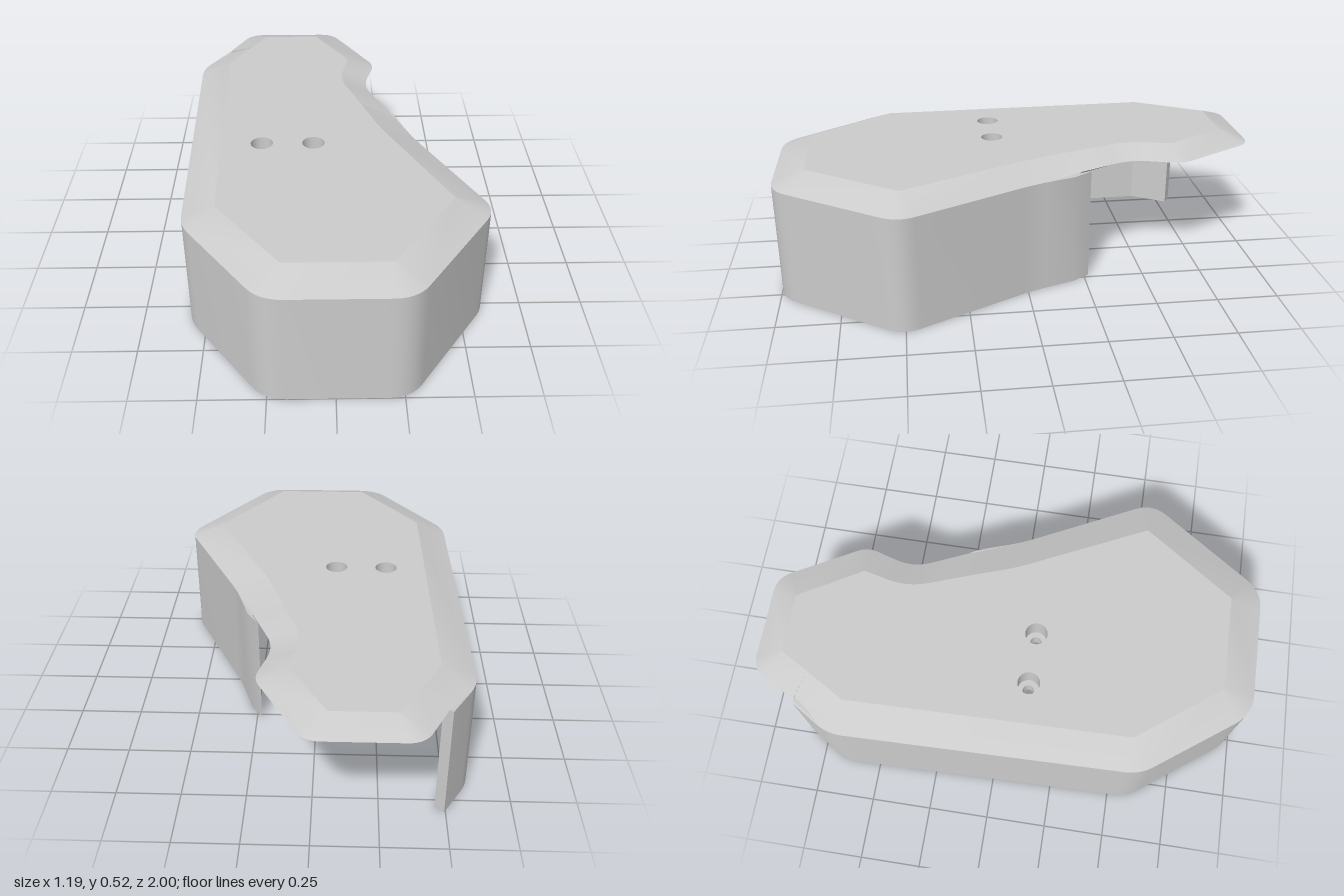
import * as THREE from 'three';
import { toCreasedNormals } from 'three/addons/utils/BufferGeometryUtils.js';

const TOP = 0.525, WALL = 0.473, EDGE = 0.483, CREASE = 0.3;
const V = (x, z) => new THREE.Vector2(x, z);

// Plan corners, clockwise from above:
// rim x, z, rim rounding, crown x, z, crown rounding, rim height
const CORNERS = [
  [-0.386, -1.0, 0.06, -0.305, -0.89, 0, EDGE],
  [0.02, -1.0, 0.06, -0.06, -0.89, 0, EDGE],
  [0.215, -0.655, 0.05, 0.09, -0.635, 0, EDGE],
  [0.153, -0.45, 0.08, 0.045, -0.45, 0.09, EDGE],
  [0.255, -0.225, 0, 0.128, -0.225, 0, EDGE],
  [0.278, -0.2, 0, 0.137, -0.2, 0, WALL],
  [0.34, -0.02, 0.06, 0.2, -0.02, 0.06, WALL],
  [0.61, 0.51, 0.075, 0.455, 0.5, 0, WALL],
  [0.272, 1.0, 0.08, 0.2, 0.87, 0, WALL],
  [-0.26, 1.0, 0.08, -0.19, 0.87, 0, WALL],
  [-0.567, 0.585, 0.06, -0.44, 0.54, 0, WALL],
  [-0.597, -0.65, 0.06, -0.465, -0.61, 0, WALL],
  [-0.495, -0.815, 0, -0.37, -0.775, 0, WALL],
  [-0.483, -0.81, 0, -0.37, -0.775, 0, EDGE],
];
const WALL_INNER = [
  [-0.46, -0.79], [-0.548, -0.64], [-0.52, 0.56], [-0.235, 0.95],
  [0.247, 0.95], [0.553, 0.505], [0.29, -0.02], [0.23, -0.27],
];
const HOLES = [V(-0.285, 0.105), V(-0.075, 0.105)];

// Rounds the corner b between a and c, always giving the same number of points
function roundCorner(a, b, c, d, n = 6) {
  if (d === 0) return Array(n + 1).fill(b);
  const p = b.clone().add(a.clone().sub(b).setLength(d));
  const q = b.clone().add(c.clone().sub(b).setLength(d));
  return new THREE.QuadraticBezierCurve(p, b, q).getPoints(n);
}

// Matching rim and crown loops
function makeLoops() {
  const rim = [], crown = [], N = CORNERS.length;
  CORNERS.forEach((c, i) => {
    const a = CORNERS[(i + N - 1) % N], b = CORNERS[(i + 1) % N];
    const loop = k => roundCorner(V(a[k], a[k + 1]), V(c[k], c[k + 1]), V(b[k], b[k + 1]), c[k + 2]);
    const r = loop(0), t = loop(3);
    r.forEach((p, j) => {
      if (j > 0 && p.equals(r[j - 1]) && t[j].equals(t[j - 1])) return;
      rim.push(new THREE.Vector3(p.x, c[6], p.y));
      crown.push(new THREE.Vector3(t[j].x, TOP, t[j].y));
    });
  });
  return { rim, crown };
}

// Sloping band between two closed loops
function band(low, high) {
  const pos = [];
  const tri = (a, b, c) => {
    if (a.distanceTo(b) < 1e-6 || b.distanceTo(c) < 1e-6 || c.distanceTo(a) < 1e-6) return;
    for (const p of [a, b, c]) pos.push(p.x, p.y, p.z);
  };
  low.forEach((a0, i) => {
    const j = (i + 1) % low.length;
    tri(low[j], a0, high[i]);
    tri(low[j], high[i], high[j]);
  });
  const g = new THREE.BufferGeometry();
  g.setAttribute('position', new THREE.Float32BufferAttribute(pos, 3));
  return toCreasedNormals(g, CREASE);
}

// Flat face with the two screw holes; s = -1 faces up, s = 1 faces down
function holedFace(loop, radius, s) {
  const pts = loop.filter((p, i) => i === 0 || p.distanceTo(loop[i - 1]) > 1e-6);
  const shape = new THREE.Shape(pts.map(p => V(p.x, s * p.z)));
  for (const h of HOLES) {
    shape.holes.push(new THREE.Path().absarc(h.x, s * h.y, radius, 0, Math.PI * 2, true));
  }
  return new THREE.ShapeGeometry(shape, 16).rotateX(s * Math.PI / 2);
}

export function createModel() {
  const group = new THREE.Group();
  const mat = new THREE.MeshStandardMaterial({ color: 0xcccccc, side: THREE.DoubleSide });
  const add = (name, geo, parent = group) => {
    const m = new THREE.Mesh(geo, mat);
    m.name = name;
    parent.add(m);
    return m;
  };
  const { rim, crown } = makeLoops();

  // Lid: flat crown, sloping edge and underside
  const lid = new THREE.Group();
  lid.name = 'lid';
  group.add(lid);
  add('lidTop', holedFace(crown, 0.045, -1).translate(0, TOP, 0), lid);
  add('lidBevel', band(rim, crown), lid);

  // Underside meets the rim at each point's own height
  const under = holedFace(rim, 0.06, 1);
  const pos = under.attributes.position;
  for (let i = 0; i < pos.count; i++) {
    const p = rim.find(r => Math.hypot(r.x - pos.getX(i), r.z - pos.getZ(i)) < 1e-4);
    pos.setY(i, p ? p.y : 0.478);
  }
  under.computeVertexNormals();
  add('lidUnderside', under, lid);

  // Skirt wall, open at the bottom and at the back right
  const outer = rim.filter(p => p.y === WALL).map(p => V(p.x, -p.z))
    .filter((p, i, a) => i === 0 || p.distanceTo(a[i - 1]) > 1e-6);
  const section = new THREE.Shape([...outer, ...WALL_INNER.map(([x, z]) => V(x, -z))]);
  const wall = new THREE.ExtrudeGeometry(section, { depth: WALL, bevelEnabled: false });
  add('skirtWall', toCreasedNormals(wall.rotateX(-Math.PI / 2), CREASE));

  // Tapered screw bosses with a stepped bore
  const profile = [
    [0.045, TOP], [0.045, 0.42], [0.023, 0.42], [0.023, 0.36], [0.06, 0.36], [0.095, 0.485],
  ].map(([r, y]) => V(r, y));
  const boss = toCreasedNormals(new THREE.LatheGeometry(profile, 32), CREASE);
  for (const h of HOLES) add('screwBoss', boss).position.set(h.x, 0, h.y);

  return group;
}
